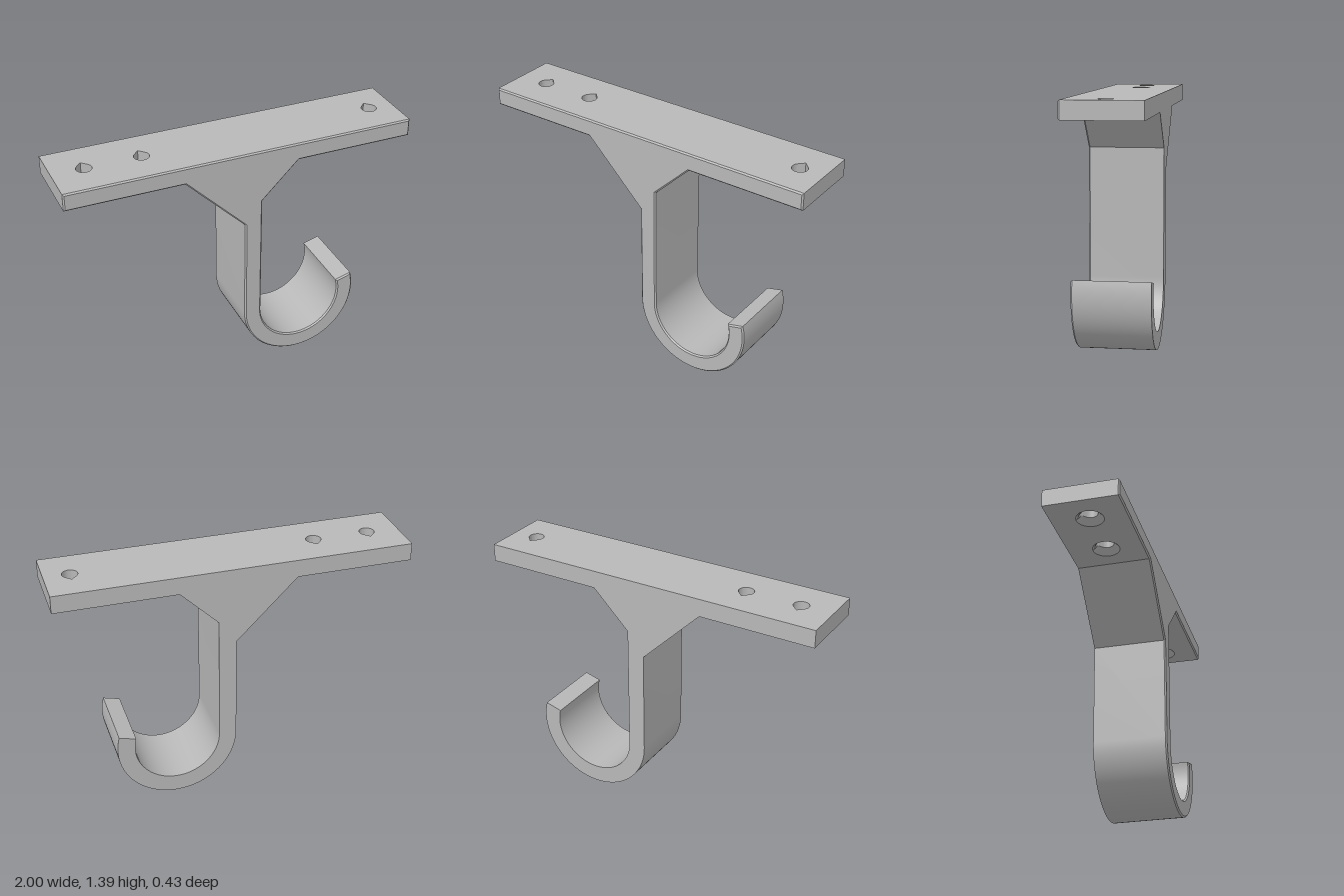
import * as THREE from 'three';
import { toCreasedNormals } from 'three/addons/utils/BufferGeometryUtils.js';

const BACK = -0.213, FRONT = 0.213, BEVEL = 0.008;
const TOP = 1.39, UNDER = 1.29, SINK = 1.325; // plate top, underside, end of countersink
const HOLES = [-0.82, -0.503, 0.857];
const HOLE_R = 0.043, SINK_R = 0.077, N = 40;

const V = (x, y, z) => new THREE.Vector3(x, y, z);

// Geometry from a list of four-cornered faces
function fromQuads(quads) {
  const points = quads.flatMap(([a, b, c, d]) => [a, b, c, a, c, d]);
  return toCreasedNormals(new THREE.BufferGeometry().setFromPoints(points), 0.42);
}

// Side outline of the bracket, counter-clockwise
function bracketOutline() {
  const cx = 0.353, cy = 0.347, outer = 0.347, inner = 0.247, steps = 56;
  const start = Math.PI, sweep = Math.PI * 195 / 180;
  const pts = [[1, TOP], [-1, TOP], [-1, UNDER], [-0.34, UNDER], [cx - outer, 0.945]];
  for (let i = 0; i <= steps; i++) {
    const a = start + sweep * i / steps;
    pts.push([cx + outer * Math.cos(a), cy + outer * Math.sin(a)]);
  }
  for (let i = steps; i >= 0; i--) {
    const a = start + sweep * i / steps;
    pts.push([cx + inner * Math.cos(a), cy + inner * Math.sin(a)]);
  }
  pts.push([cx - inner, 1.08], [0.32, UNDER], [1, UNDER]);
  return pts.map(([x, y]) => new THREE.Vector2(x, y));
}

// Outline moved inwards with mitred corners
function inset(pts, amount) {
  const normal = (a, b) => {
    const d = b.clone().sub(a).normalize();
    return new THREE.Vector2(-d.y, d.x);
  };
  return pts.map((p, i) => {
    const n1 = normal(pts[(i + pts.length - 1) % pts.length], p);
    const n2 = normal(p, pts[(i + 1) % pts.length]);
    return p.clone().addScaledVector(n1.clone().add(n2), amount / (1 + n1.dot(n2)));
  });
}

// Ring of points around a hole; the teardrop has a 45 degree peak towards the back
function ring(cx, r, teardrop) {
  return Array.from({ length: N }, (_, i) => {
    const t = i / N * Math.PI * 2;
    const off = Math.abs(t - Math.PI / 2);
    const rho = teardrop && off < Math.PI / 4 ? r / Math.cos(Math.PI / 4 - off) : r;
    return new THREE.Vector2(cx + rho * Math.cos(t), rho * Math.sin(t));
  });
}

// Flat rectangle with holes, where y stands for -z
function piercedFace(x0, x1, holes) {
  const f = BEVEL - FRONT, b = -BACK;
  const shape = new THREE.Shape([[x0, f], [x1, f], [x1, b], [x0, b]].map(p => new THREE.Vector2(...p)));
  shape.holes = holes.map(h => new THREE.Path(h));
  return new THREE.ShapeGeometry(shape);
}

export function createModel() {
  const group = new THREE.Group();
  const material = new THREE.MeshStandardMaterial({ color: 0xb8b8b8 });
  material.name = 'plain grey';
  const add = (name, geometry) => {
    const mesh = new THREE.Mesh(geometry, material);
    mesh.name = name;
    group.add(mesh);
    return mesh;
  };

  const outline = bracketOutline();
  const small = inset(outline, BEVEL);
  const count = outline.length;

  // Walls and front chamfer; the three pierced plate faces are made separately
  const pierced = [0, 2, count - 2];
  const walls = [], chamfer = [];
  outline.forEach((a, i) => {
    const j = (i + 1) % count, b = outline[j], zf = FRONT - BEVEL;
    if (a.distanceTo(b) < 1e-6) return;
    if (!pierced.includes(i)) {
      walls.push([V(a.x, a.y, BACK), V(b.x, b.y, BACK), V(b.x, b.y, zf), V(a.x, a.y, zf)]);
    }
    chamfer.push([V(a.x, a.y, zf), V(b.x, b.y, zf),
      V(small[j].x, small[j].y, FRONT), V(small[i].x, small[i].y, FRONT)]);
  });
  add('bracketWalls', fromQuads(walls));
  add('frontChamfer', fromQuads(chamfer));

  // Flat front and back of plate, gusset and hook
  add('frontFace', new THREE.ShapeGeometry(new THREE.Shape(small)).translate(0, 0, FRONT));
  const mirrored = outline.map(p => new THREE.Vector2(-p.x, p.y));
  add('backFace', new THREE.ShapeGeometry(new THREE.Shape(mirrored)).rotateY(Math.PI).translate(0, 0, BACK));

  // Plate top with teardrop holes
  const topHoles = HOLES.map(x => ring(x, HOLE_R, true));
  add('plateTop', piercedFace(-1, 1, topHoles).rotateX(-Math.PI / 2).translate(0, TOP, 0));

  // Plate underside on both sides of the gusset, with round countersink openings
  const underside = (name, x0, x1) => {
    const holes = HOLES.filter(x => x > x0 && x < x1).map(x => ring(-x, SINK_R, false));
    add(name, piercedFace(-x1, -x0, holes).rotateX(-Math.PI / 2).rotateZ(Math.PI).translate(0, UNDER, 0));
  };
  underside('rightUnderside', -1, -0.34);
  underside('leftUnderside', 0.32, 1);

  // Screw holes: cone below, straight teardrop bore above
  HOLES.forEach((x, h) => {
    const bore = topHoles[h], sink = ring(x, SINK_R, false);
    const loft = (low, y0, high, y1) => fromQuads(low.map((_, i) => {
      const j = (i + 1) % N, at = (p, y) => V(p.x, y, -p.y);
      return [at(high[i], y1), at(high[j], y1), at(low[j], y0), at(low[i], y0)];
    }));
    add('countersink', loft(sink, UNDER, bore, SINK));
    add('screwBore', loft(bore, SINK, bore, TOP));
  });

  return group;
}
